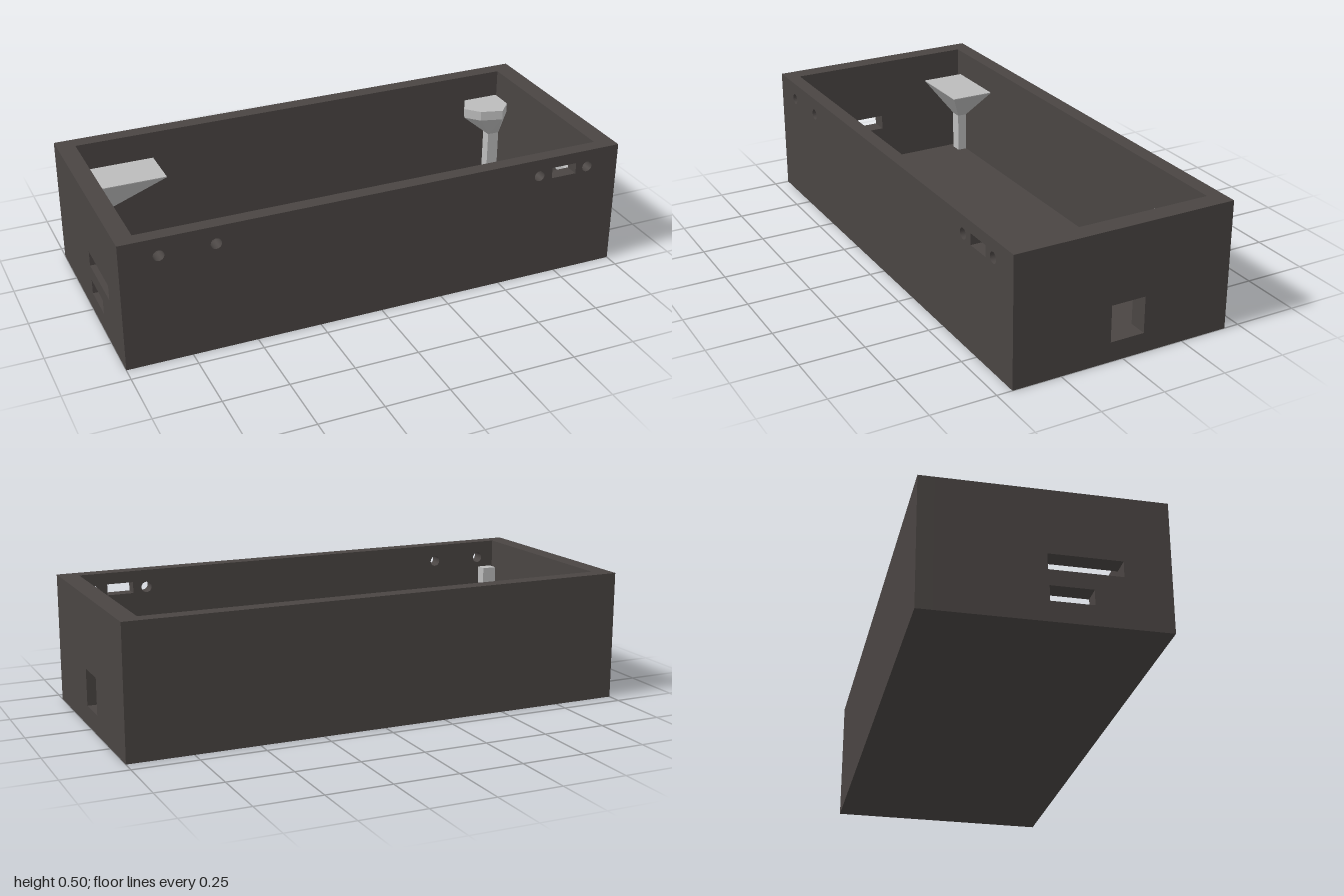
import * as THREE from 'three';
import { ConvexGeometry } from 'three/addons/geometries/ConvexGeometry.js';

const HEIGHT = 0.505, FLOOR = 0.05;
const INNER = { x0: -0.93, x1: 0.925, z0: -0.38, z1: 0.385 };

const shell = new THREE.MeshStandardMaterial({ color: 0x4a4543 });
shell.name = 'darkShell';
const support = new THREE.MeshStandardMaterial({ color: 0xbcbcbc });
support.name = 'lightGrey';

const rectPath = (x0, x1, y0, y1) => new THREE.Path([
  [x0, y0], [x0, y1], [x1, y1], [x1, y0],
].map(([x, y]) => new THREE.Vector2(x, y)));

const circlePath = (x, y, r) => new THREE.Path().absarc(x, y, r, 0, Math.PI * 2, true);

// Upright wall from u0 to u1 with openings cut through it
function wall(name, u0, u1, thickness, holes) {
  const shape = new THREE.Shape();
  shape.moveTo(u0, 0).lineTo(u1, 0).lineTo(u1, HEIGHT).lineTo(u0, HEIGHT).closePath();
  shape.holes.push(...holes);
  const geo = new THREE.ExtrudeGeometry(shape, { depth: thickness, bevelEnabled: false, curveSegments: 24 });
  const mesh = new THREE.Mesh(geo, shell);
  mesh.name = name;
  return mesh;
}

// Corner post with a flat cap that tapers down into it
function post(name, [x0, x1, z0, z1], outline, top, edge, taper) {
  const group = new THREE.Group();
  group.name = name;
  const neck = outline ? top - edge - taper : top;
  const column = new THREE.Mesh(new THREE.BoxGeometry(x1 - x0, neck - FLOOR, z1 - z0), support);
  column.position.set((x0 + x1) / 2, (neck + FLOOR) / 2, (z0 + z1) / 2);
  column.name = 'column';
  group.add(column);
  if (outline) {
    const points = [];
    for (const [x, z] of outline) {
      points.push(new THREE.Vector3(x, top, z), new THREE.Vector3(x, top - edge, z));
    }
    for (const x of [x0, x1]) for (const z of [z0, z1]) points.push(new THREE.Vector3(x, neck, z));
    const cap = new THREE.Mesh(new ConvexGeometry(points), support);
    cap.name = 'cap';
    group.add(cap);
  }
  return group;
}

export function createModel() {
  const model = new THREE.Group();
  model.name = 'enclosure';

  // Front wall: button holes and a connector slot
  const front = wall('frontWall', -1, 1, 0.44 - INNER.z1, [
    ...[-0.855, -0.645, 0.655, 0.865].map((x) => circlePath(x, 0.436, 0.021)),
    rectPath(0.71, 0.815, 0.416, 0.46),
  ]);
  front.position.z = INNER.z1;

  // Plain back wall
  const back = wall('backWall', -1, 1, 0.44 + INNER.z0, []);
  back.position.z = -0.44;

  // End walls: one square port on one side, two slots on the other
  const leftEnd = wall('leftEndWall', INNER.z0, INNER.z1, 1 - INNER.x1, [
    rectPath(-0.085, 0.052, 0.077, 0.22),
  ]);
  leftEnd.rotation.y = -Math.PI / 2;
  leftEnd.position.x = 1;

  const rightEnd = wall('rightEndWall', INNER.z0, INNER.z1, 1 + INNER.x0, [
    rectPath(0.005, 0.27, 0.195, 0.255),
    rectPath(0.01, 0.165, 0.077, 0.135),
  ]);
  rightEnd.rotation.y = -Math.PI / 2;
  rightEnd.position.x = INNER.x0;

  // Floor
  const floor = new THREE.Mesh(
    new THREE.BoxGeometry(INNER.x1 - INNER.x0, FLOOR, INNER.z1 - INNER.z0), shell);
  floor.position.set((INNER.x0 + INNER.x1) / 2, FLOOR / 2, (INNER.z0 + INNER.z1) / 2);
  floor.name = 'floor';

  model.add(front, back, leftEnd, rightEnd, floor);

  // Four corner posts, each with its own cap
  model.add(
    post('backRightPost', [-0.905, -0.855, -0.38, -0.34],
      [[-0.905, -0.38], [-0.625, -0.38], [-0.625, -0.2], [-0.905, -0.2]], 0.395, 0.003, 0.175),
    post('backLeftPost', [0.87, 0.92, -0.38, -0.335],
      [[0.77, -0.38], [0.922, -0.38], [0.922, -0.28], [0.868, -0.22], [0.778, -0.245], [0.728, -0.3]],
      0.395, 0.04, 0.12),
    post('frontLeftPost', [0.87, 0.922, 0.337, 0.383],
      [[0.825, 0.28], [0.9, 0.28], [0.922, 0.31], [0.922, 0.383], [0.85, 0.38], [0.817, 0.355]],
      0.4, 0.035, 0.03),
    post('frontRightPost', [-0.92, -0.86, 0.337, 0.382], null, 0.395),
  );
  return model;
}
